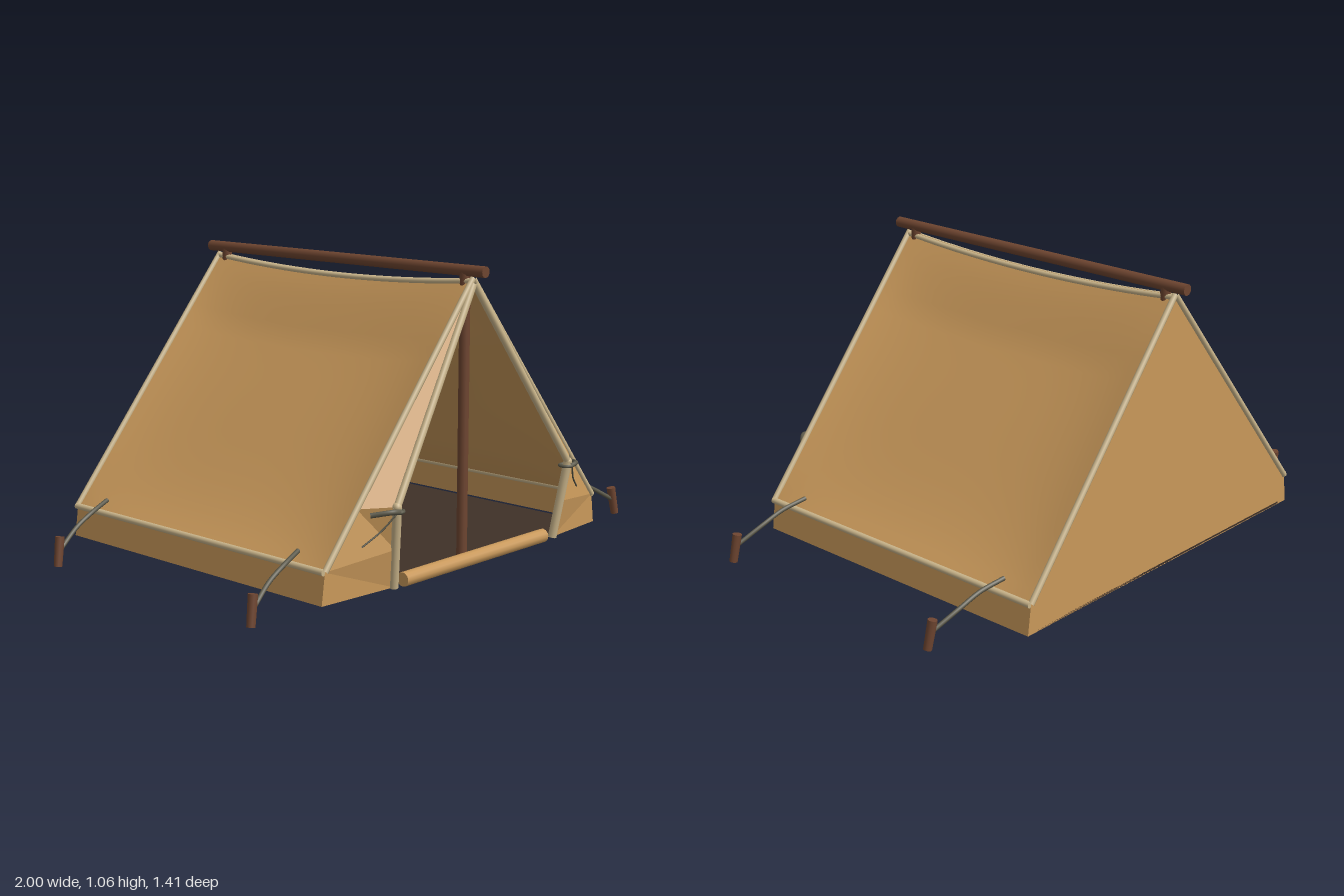
import * as THREE from 'three';

const mat = (color, opts = {}) => new THREE.MeshStandardMaterial({ color, ...opts });
const V = (x, y, z) => new THREE.Vector3(x, y, z);

const EAVE = { x: 0.725, y: 0.14 }, RIDGE_Y = 1.02, FRONT = 0.615, BACK = -0.65;
const MID = (FRONT + BACK) / 2, HALF = (FRONT - BACK) / 2;

// Point on the sagging roof: u runs from ridge to eave, z along the tent
function roofPoint(u, z) {
  const v = (z - MID) / HALF;
  const ridgeDrop = 0.03 * (1 - v * v) * (1 - u) ** 2;
  const sag = 0.035 * (1 - v ** 4) * (1 - (2 * u - 1) ** 4);
  return V(EAVE.x * u - 0.77 * sag * Math.min(1, u * 4),
    RIDGE_Y + (EAVE.y - RIDGE_Y) * u - ridgeDrop - 0.64 * sag * Math.min(1, u * 4), z);
}

// Grid of quads from a function of (i, j)
function gridGeometry(cols, rows, point) {
  const pos = [], idx = [];
  for (let i = 0; i <= rows; i++)
    for (let j = 0; j <= cols; j++) pos.push(...point(j / cols, i / rows).toArray());
  for (let i = 0; i < rows; i++)
    for (let j = 0; j < cols; j++) {
      const a = i * (cols + 1) + j, b = a + cols + 1;
      idx.push(a, b, a + 1, b, b + 1, a + 1);
    }
  const g = new THREE.BufferGeometry();
  g.setAttribute('position', new THREE.Float32BufferAttribute(pos, 3));
  g.setIndex(idx);
  g.computeVertexNormals();
  return g;
}

export function createModel() {
  const model = new THREE.Group();
  const double = { side: THREE.DoubleSide };
  const canvas = mat(0xc8985a, double);
  const canvasFlat = mat(0xc8985a, { ...double, flatShading: true });
  const trim = mat(0xc9b48a);
  const wood = mat(0x6e4530);
  const rope = mat(0x5c594a);
  const lining = mat(0x5e4c3b);
  const ground = mat(0x3f3128);

  const add = (parent, name, geo, material) => {
    const m = new THREE.Mesh(geo, material);
    m.name = name;
    parent.add(m);
    return m;
  };
  // Round bar between two points
  const bar = (parent, name, a, b, r, material, r2 = r) => {
    const m = add(parent, name, new THREE.CylinderGeometry(r2, r, a.distanceTo(b), 12), material);
    m.position.copy(a).add(b).multiplyScalar(0.5);
    m.quaternion.setFromUnitVectors(V(0, 1, 0), b.clone().sub(a).normalize());
    return m;
  };
  const tube = (parent, name, pts, r, material, n = 24) =>
    add(parent, name, new THREE.TubeGeometry(new THREE.CatmullRomCurve3(pts), n, r, 8), material);

  // Timber frame
  bar(model, 'ridgePole', V(0, 1.045, -0.7), V(0, 1.045, 0.67), 0.02, wood);
  bar(model, 'frontPole', V(0, 0.03, 0.58), V(0, 1.04, 0.58), 0.019, wood);
  bar(model, 'backPole', V(0, 0.03, -0.61), V(0, 1.04, -0.61), 0.019, wood);

  // Groundsheet, slightly narrower than the walls
  add(model, 'groundsheet', new THREE.BoxGeometry(1.38, 0.01, 2 * HALF), ground)
    .position.set(0, 0.035, MID);

  // Back wall with a dark inner lining
  const wall = new THREE.Shape([[0, RIDGE_Y], [-EAVE.x, EAVE.y], [-0.74, 0.03], [0.74, 0.03], [EAVE.x, EAVE.y]]
    .map(([x, y]) => new THREE.Vector2(x, y)));
  add(model, 'backWall', new THREE.ShapeGeometry(wall), canvas).position.z = BACK;
  add(model, 'backWallLining', new THREE.ShapeGeometry(wall), lining).position.z = BACK + 0.006;

  // Rolled door cloth at the threshold
  bar(model, 'rolledDoor', V(-0.385, 0.05, 0.645), V(0.385, 0.05, 0.645), 0.025, canvas);

  // One half of the tent, mirrored for the other
  for (const side of [1, -1]) {
    const half = new THREE.Group();
    half.name = side > 0 ? 'leftHalf' : 'rightHalf';
    half.scale.x = side;
    model.add(half);

    add(half, 'roofPanel', gridGeometry(24, 24,
      (u, w) => roofPoint(u, FRONT + (BACK - FRONT) * w)), canvas);
    add(half, 'sideWall', gridGeometry(1, 1,
      (u, w) => V(EAVE.x + 0.015 * u, EAVE.y - 0.11 * u, FRONT + (BACK - FRONT) * w)), canvas);

    // Front flap, pulled outward at its tie
    const inner = [V(0.005, 1.0, 0.62), V(0.465, 0.32, 0.69), V(0.45, 0.17, 0.67), V(0.435, 0.035, 0.65)];
    const outer = [V(0.015, 1.005, FRONT), V(0.577, 0.32, FRONT), V(EAVE.x, EAVE.y, FRONT), V(0.74, 0.03, FRONT)];
    add(half, 'frontFlap', gridGeometry(1, 3,
      (u, w) => (u ? outer : inner)[Math.round(w * 3)]).toNonIndexed(), canvasFlat);
    bar(half, 'doorTrim', inner[0], inner[1], 0.013, trim);
    bar(half, 'doorTrim', inner[1], inner[3], 0.016, trim);
    add(half, 'doorTrimCorner', new THREE.SphereGeometry(0.016, 12, 8), trim).position.copy(inner[1]);

    // Tie with loop and toggle
    const loop = add(half, 'flapTieLoop', new THREE.TorusGeometry(0.024, 0.006, 8, 20), rope);
    loop.position.set(0.463, 0.305, 0.685);
    loop.rotation.x = Math.PI / 2;
    tube(half, 'flapTie', [V(0.46, 0.305, 0.705), V(0.5, 0.31, 0.7), V(0.55, 0.3, 0.65)], 0.009, rope);
    tube(half, 'flapTieTail', [V(0.48, 0.3, 0.7), V(0.52, 0.25, 0.675), V(0.585, 0.2, 0.645)], 0.003, rope);

    // Piping along roof ends, eave and ridge
    const ts = [...Array(9).keys()].map(i => i / 8);
    for (const z of [FRONT, BACK])
      tube(half, 'roofEndPiping', ts.map(t => roofPoint(t, z)), 0.011, trim);
    tube(half, 'ridgePiping', ts.map(t => roofPoint(0.01, FRONT + (BACK - FRONT) * t)), 0.01, trim);
    bar(half, 'eavePiping', V(0.73, EAVE.y, BACK), V(0.73, EAVE.y, FRONT), 0.011, trim);

    // Guy ropes and stakes
    for (const z of [0.47, -0.51]) {
      tube(half, 'guyRope', [V(0.70, 0.18, z), V(0.79, 0.155, z + 0.025),
        V(0.87, 0.12, z + 0.04), V(0.965, 0.065, z + 0.07)], 0.008, rope);
      bar(half, 'stake', V(0.985, 0.005, z + 0.075), V(0.967, 0.108, z + 0.067), 0.015, wood, 0.017);
    }
  }
  return model;
}
